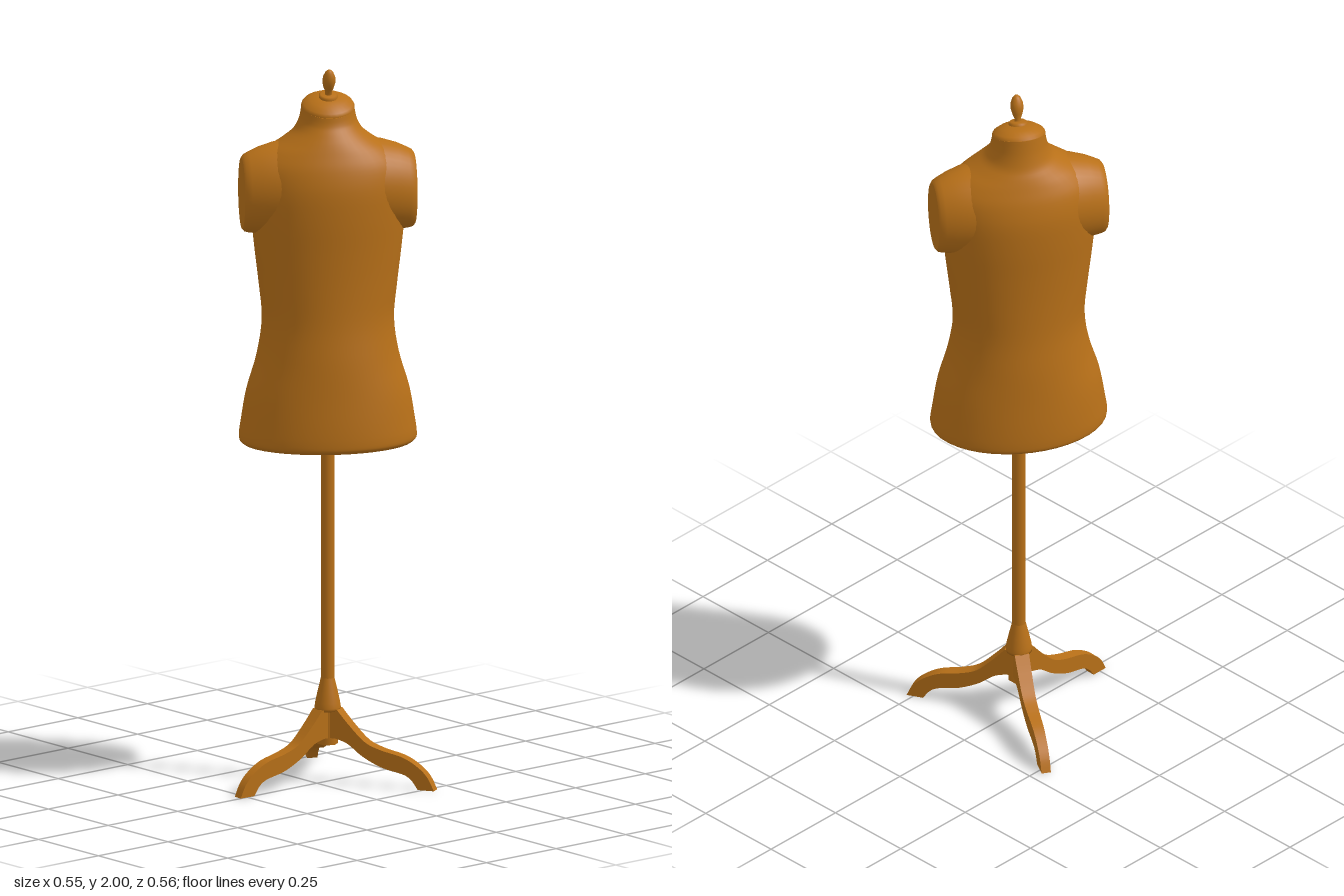
import * as THREE from 'three';

const wood = new THREE.MeshStandardMaterial({ color: 0xb87018 });
const SEG = 40;

function addMesh(parent, name, geometry) {
  const mesh = new THREE.Mesh(geometry, wood);
  mesh.name = name;
  parent.add(mesh);
  return mesh;
}

// Skin over closed rings of Vector3, with flat fans on both ends
function loft(rings) {
  const pos = [], index = [], n = rings[0].length;
  rings.forEach(r => r.forEach(p => pos.push(p.x, p.y, p.z)));
  for (let i = 0; i < rings.length - 1; i++) {
    for (let j = 0; j < n; j++) {
      const k = (j + 1) % n, a = i * n + j, b = i * n + k, c = a + n, d = b + n;
      index.push(a, c, b, b, c, d);
    }
  }
  [rings[0], rings[rings.length - 1]].forEach((ring, end) => {
    const start = pos.length / 3;
    const mid = ring.reduce((s, p) => s.add(p), new THREE.Vector3()).divideScalar(n);
    [...ring, mid].forEach(p => pos.push(p.x, p.y, p.z));
    for (let j = 0; j < n; j++) {
      const a = start + j, b = start + (j + 1) % n;
      index.push(start + n, ...(end ? [b, a] : [a, b]));
    }
  });
  const geometry = new THREE.BufferGeometry();
  geometry.setAttribute('position', new THREE.Float32BufferAttribute(pos, 3));
  geometry.setIndex(index);
  geometry.computeVertexNormals();
  return geometry;
}

const ringOf = fn => Array.from({ length: SEG }, (_, j) => fn(j / SEG * Math.PI * 2));

const NECK_TILT = 0.28;

// Body from hem to neck: half width, height, half depth
function torsoGeometry() {
  const profile = new THREE.CatmullRomCurve3([
    [0.232, 0.953, 0.166], [0.242, 0.962, 0.175], [0.244, 0.975, 0.177], [0.238, 1.02, 0.176],
    [0.224, 1.1, 0.17], [0.195, 1.2, 0.162], [0.181, 1.3, 0.151], [0.19, 1.4, 0.147],
    [0.202, 1.5, 0.147], [0.212, 1.6, 0.149], [0.215, 1.68, 0.146], [0.205, 1.735, 0.134],
    [0.17, 1.775, 0.118], [0.125, 1.805, 0.104], [0.094, 1.83, 0.09], [0.08, 1.855, 0.08],
    [0.075, 1.875, 0.075], [0.072, 1.893, 0.072],
  ].map(p => new THREE.Vector3(...p)));
  return loft(profile.getPoints(68).map(({ x: a, y, z: b }) => {
    const tilt = NECK_TILT * THREE.MathUtils.smoothstep(y, 1.82, 1.89);
    return ringOf(t => {
      const z = b * Math.sin(t);
      return new THREE.Vector3(a * Math.cos(t), y - z * tilt, z);
    });
  }));
}

// Armhole stub: distance out, centre height, half height, half depth
function shoulderGeometry() {
  return loft([
    [0.1, 1.672, 0.132, 0.118], [0.15, 1.668, 0.127, 0.108], [0.19, 1.663, 0.12, 0.096],
    [0.218, 1.658, 0.112, 0.086], [0.231, 1.656, 0.107, 0.08], [0.237, 1.655, 0.099, 0.073],
  ].map(([x, cy, h, d]) => ringOf(t =>
    new THREE.Vector3(x, cy + h * Math.cos(t), -d * Math.sin(t)))));
}

const lathe = (points, seg = 28) =>
  new THREE.LatheGeometry(points.map(p => new THREE.Vector2(...p)), seg);

// Curved leg outline extruded sideways, narrowing to the foot
function legGeometry() {
  const s = new THREE.Shape();
  s.moveTo(0.012, 0.205);
  s.lineTo(0.035, 0.205);
  s.splineThru([[0.07, 0.165], [0.115, 0.122], [0.16, 0.103], [0.225, 0.087],
    [0.27, 0.062], [0.297, 0.035], [0.315, 0]].map(p => new THREE.Vector2(...p)));
  s.lineTo(0.268, 0);
  s.splineThru([[0.25, 0.025], [0.225, 0.04], [0.165, 0.054], [0.11, 0.08],
    [0.065, 0.113], [0.03, 0.125]].map(p => new THREE.Vector2(...p)));
  s.lineTo(0.012, 0.125);
  const g = new THREE.ExtrudeGeometry(s, { depth: 1, bevelEnabled: false, curveSegments: 18 });
  const p = g.attributes.position;
  for (let i = 0; i < p.count; i++) {
    const width = THREE.MathUtils.lerp(0.042, 0.026, p.getX(i) / 0.315);
    p.setZ(i, (p.getZ(i) - 0.5) * width);
  }
  g.computeVertexNormals();
  return g;
}

export function createModel() {
  const model = new THREE.Group();
  model.name = 'dressForm';

  // Bust, turned on its stand
  const bust = new THREE.Group();
  bust.name = 'bust';
  bust.position.set(0.042, 0, -0.003);
  bust.rotation.y = THREE.MathUtils.degToRad(-33);
  model.add(bust);
  addMesh(bust, 'torso', torsoGeometry());
  const shoulder = shoulderGeometry();
  addMesh(bust, 'leftShoulder', shoulder);
  addMesh(bust, 'rightShoulder', shoulder).rotation.y = Math.PI;

  // Neck cap and finial, leaning forward
  const top = new THREE.Group();
  top.name = 'neckTop';
  top.position.y = 1.892;
  top.rotation.x = Math.atan(NECK_TILT);
  bust.add(top);
  addMesh(top, 'neckCap', lathe([[0.073, -0.004], [0.073, 0.003], [0.068, 0.011],
    [0.05, 0.022], [0.026, 0.028], [0, 0.029]]));
  addMesh(top, 'finialBase', lathe([[0.026, 0.024], [0.026, 0.033], [0.021, 0.037], [0, 0.038]]));
  addMesh(top, 'finial', lathe([[0.01, 0.034], [0.009, 0.045], [0.014, 0.058], [0.018, 0.074],
    [0.017, 0.09], [0.011, 0.105], [0.005, 0.111], [0, 0.112]], 20));

  // Stand
  const stand = new THREE.Group();
  stand.name = 'stand';
  stand.position.set(0.042, 0, -0.004);
  model.add(stand);
  const pole = addMesh(stand, 'pole', new THREE.CylinderGeometry(0.0185, 0.0185, 0.69, 20));
  pole.position.y = 0.62;
  addMesh(stand, 'collar', lathe([[0, 0.2], [0.036, 0.2], [0.036, 0.208], [0.034, 0.222],
    [0.028, 0.25], [0.022, 0.275], [0.0185, 0.29]]));
  const hub = addMesh(stand, 'hub', new THREE.CylinderGeometry(0.029, 0.029, 0.1, 6));
  hub.position.y = 0.155;

  // Three legs
  const leg = legGeometry();
  for (let i = 0; i < 3; i++) {
    addMesh(stand, 'leg' + (i + 1), leg).rotation.y = -THREE.MathUtils.degToRad(61.7 + 120 * i);
  }
  return model;
}
